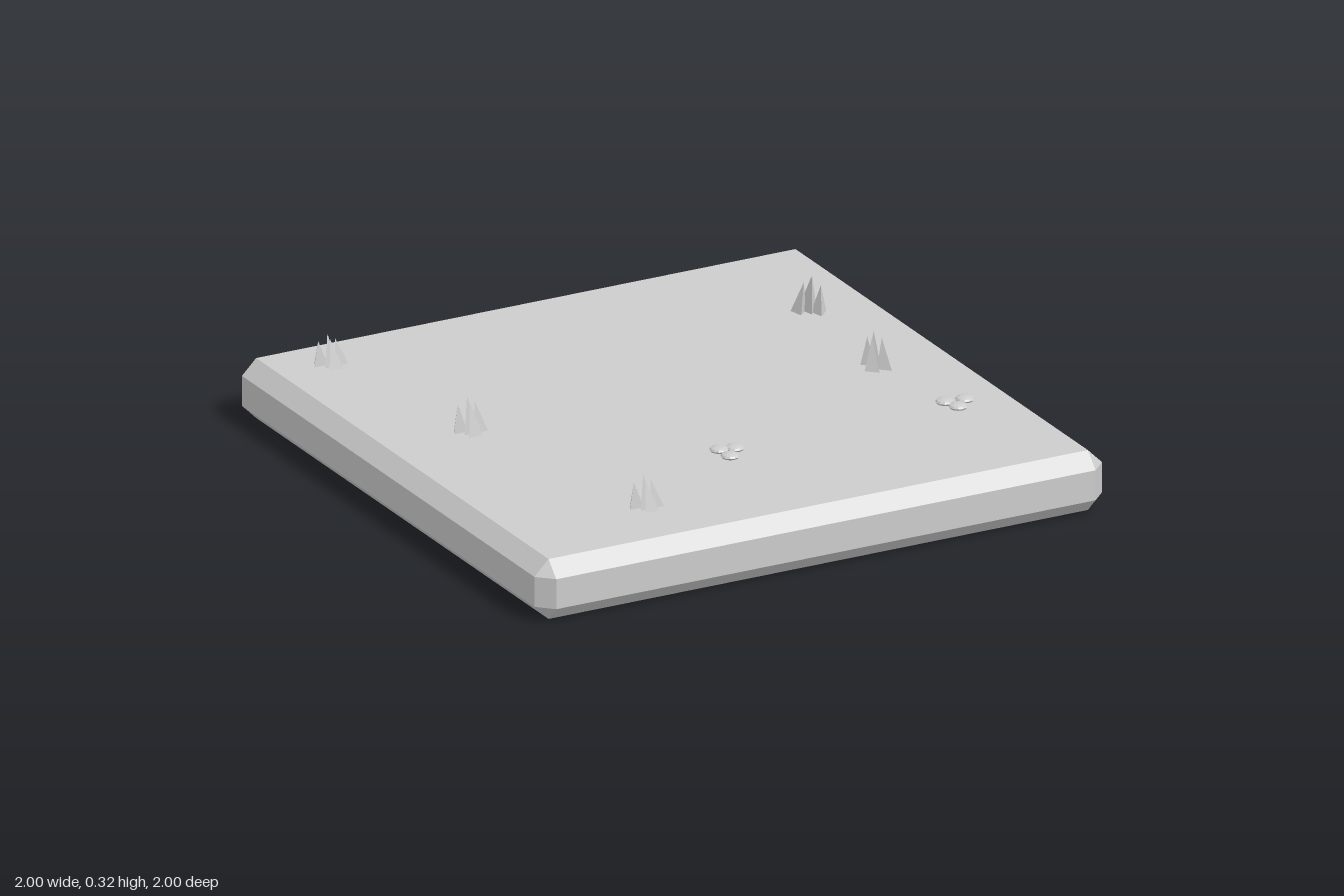
import * as THREE from 'three';
import { ConvexGeometry } from 'three/addons/geometries/ConvexGeometry.js';

const TOP = 0.2;

export function createModel() {
  const stone = new THREE.MeshStandardMaterial({ color: 0xcccccc });
  stone.name = 'paleGrey';
  stone.flatShading = true;

  const model = new THREE.Group();
  model.name = 'groundTile';
  const add = (parent, geometry, name) => {
    const mesh = new THREE.Mesh(geometry, stone);
    mesh.name = name;
    parent.add(mesh);
    return mesh;
  };

  // Square slab with chamfered edges and cut corners
  const corners = [];
  for (const x of [-1, 1]) for (const z of [-1, 1]) for (const y of [-1, 1]) {
    corners.push(
      new THREE.Vector3(x, 0.1 + y * 0.05, z * 0.95),
      new THREE.Vector3(x * 0.95, 0.1 + y * 0.05, z),
      new THREE.Vector3(x * 0.95, 0.1 + y * 0.1, z * 0.95));
  }
  add(model, new ConvexGeometry(corners), 'slab');

  // Very thin irregular patch, almost flush with the slab
  const outline = [[-0.1, 0.03], [-0.1, -0.2], [0.2, -0.25], [0.45, -0.18], [0.4, 0.04], [0.236, 0.13], [0, 0.07]];
  const patchShape = new THREE.Shape(outline.map(([x, z]) => new THREE.Vector2(x, -z)));
  const patch = add(model, new THREE.ShapeGeometry(patchShape), 'groundPatch');
  patch.rotation.x = -Math.PI / 2;
  patch.position.y = TOP + 0.001;

  // Three-sided blade whose tip is shifted sideways
  const blade = (height, leanX, leanZ) => {
    const g = new THREE.ConeGeometry(0.028, height, 3, 1);
    g.rotateY(Math.PI).translate(0, height / 2, 0);
    const p = g.attributes.position;
    for (let i = 0; i < p.count; i++) {
      const t = p.getY(i) / height;
      p.setX(i, p.getX(i) + leanX * t);
      p.setZ(i, p.getZ(i) + leanZ * t);
    }
    g.computeVertexNormals();
    return g;
  };

  // Grass tufts: x, z, turn in degrees, height factor
  const blades = [ // x, z, height, lean x, lean z
    [-0.03, -0.024, 0.092, -0.005, 0.004],
    [0.03, -0.002, 0.1, -0.014, -0.004],
    [-0.002, 0.024, 0.105, -0.008, -0.012],
    [-0.004, -0.002, 0.12, -0.006, -0.004],
  ];
  const tufts = [
    [-0.775, -0.785, 0, 0.88], [-0.66, -0.09, 0, 1.02], [-0.48, 0.722, 0, 0.92],
    [0.74, -0.478, 196, 1], [0.7, 0.036, 45, 1],
  ];
  for (const [x, z, turn, size] of tufts) {
    const tuft = new THREE.Group();
    tuft.name = 'grassTuft';
    for (const [bx, bz, h, lx, lz] of blades) {
      add(tuft, blade(h * size, lx, lz), 'grassBlade').position.set(bx, 0, bz);
    }
    tuft.position.set(x, TOP, z);
    tuft.rotation.y = -THREE.MathUtils.degToRad(turn);
    model.add(tuft);
  }

  // Flat round pebbles in clusters of three
  const pebble = new THREE.SphereGeometry(0.031, 12, 6).scale(1, 0.36, 1);
  const clusters = [
    [[-0.068, 0.432], [-0.018, 0.443], [-0.063, 0.495]],
    [[0.737, 0.415], [0.802, 0.424], [0.754, 0.469]],
  ];
  for (const spots of clusters) {
    const cluster = new THREE.Group();
    cluster.name = 'pebbleCluster';
    for (const [x, z] of spots) add(cluster, pebble, 'pebble').position.set(x, TOP + 0.015, z);
    model.add(cluster);
  }
  return model;
}
